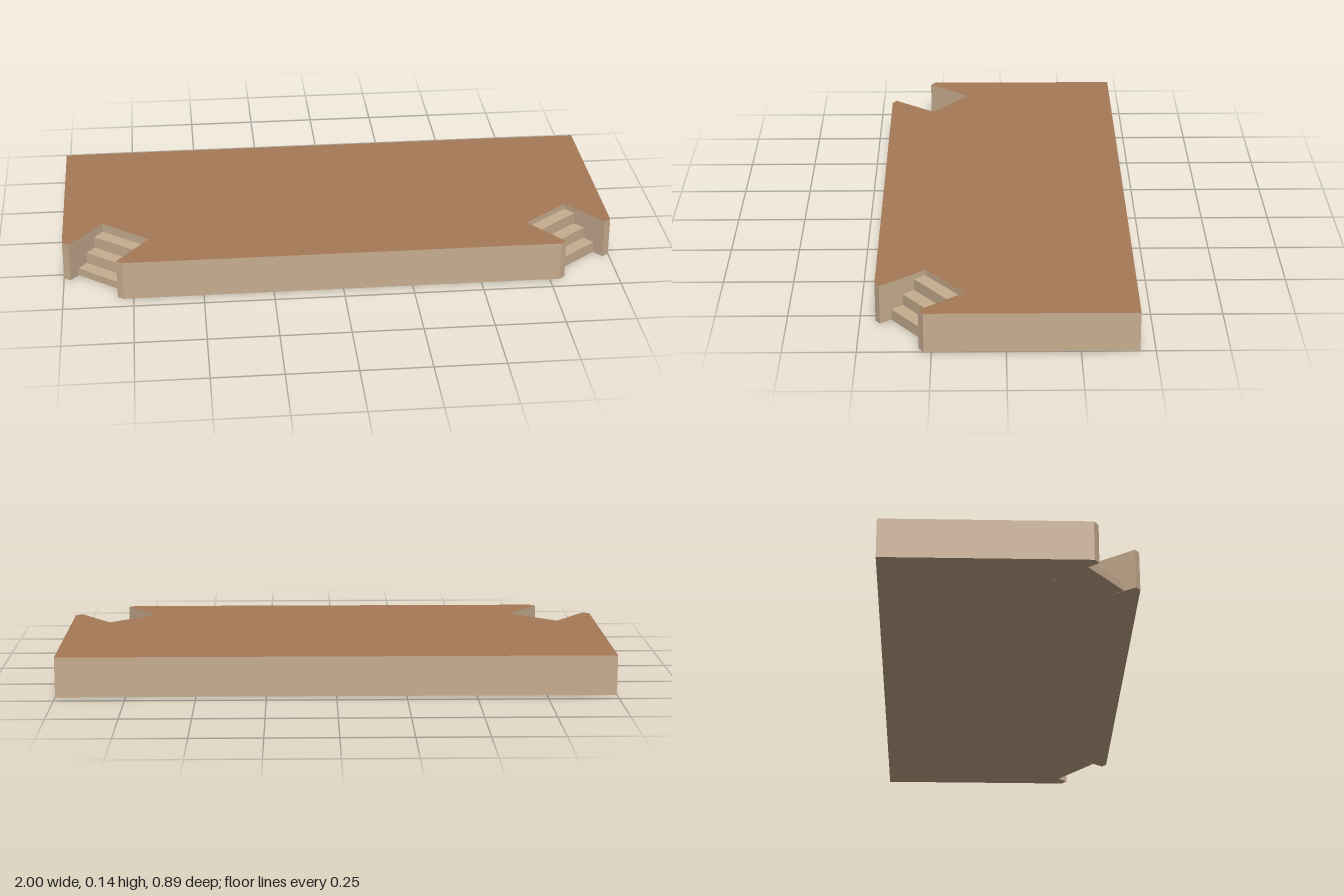
import * as THREE from 'three';

const HEIGHT = 0.145;
const STAIR_WIDTH = 0.216;
const STEP_DEPTH = 0.049;
const STAIR_ANGLE = 0.67;

// Right half of the plan as [x, z], from back corner to front, with the diagonal notch
const HALF_PLAN = [
  [1, -0.447], [1, 0.276], [0.976, 0.293], [0.856, 0.141],
  [0.69, 0.276], [0.806, 0.43], [0.785, 0.446],
];

function createPlatform(sideMaterial, topMaterial) {
  const right = HALF_PLAN.map(([x, z]) => new THREE.Vector2(x, -z));
  const left = HALF_PLAN.map(([x, z]) => new THREE.Vector2(-x, -z)).reverse();
  const geometry = new THREE.ExtrudeGeometry(new THREE.Shape([...right, ...left]), {
    depth: HEIGHT, bevelEnabled: false,
  });
  geometry.rotateX(-Math.PI / 2);

  // Split the caps: underside and walls share a colour, the deck has its own
  const [caps, walls] = geometry.groups;
  const half = caps.count / 2;
  geometry.clearGroups();
  geometry.addGroup(0, half, 0);
  geometry.addGroup(half, half, 1);
  geometry.addGroup(walls.start, walls.count, 0);

  const platform = new THREE.Mesh(geometry, [sideMaterial, topMaterial]);
  platform.name = 'platform';
  return platform;
}

// Solid staircase: stepped side profile extruded across the notch
function createStairs(side, treadHeights, material) {
  const profile = new THREE.Shape();
  const n = treadHeights.length;
  profile.moveTo(0, 0);
  profile.lineTo(n * STEP_DEPTH, 0);
  treadHeights.forEach((y, i) => {
    profile.lineTo((n - i) * STEP_DEPTH, y);
    profile.lineTo((n - i - 1) * STEP_DEPTH, y);
  });
  const geometry = new THREE.ExtrudeGeometry(profile, { depth: STAIR_WIDTH, bevelEnabled: false });
  geometry.rotateY(-Math.PI / 2);
  geometry.translate(STAIR_WIDTH / 2, 0, 0);

  const stairs = new THREE.Mesh(geometry, material);
  stairs.name = side > 0 ? 'leftStairs' : 'rightStairs';
  stairs.position.set(side * 0.773, 0, 0.2085);
  stairs.rotation.y = side * STAIR_ANGLE;
  return stairs;
}

export function createModel() {
  const sideMaterial = new THREE.MeshStandardMaterial({ color: 0xc8ad90 });
  sideMaterial.name = 'pale tan';
  const topMaterial = new THREE.MeshStandardMaterial({ color: 0xa67b57 });
  topMaterial.name = 'brown deck';

  const model = new THREE.Group();
  model.name = 'stagePlatform';
  model.add(createPlatform(sideMaterial, topMaterial));
  model.add(createStairs(1, [0.041, 0.083, 0.125], sideMaterial));
  model.add(createStairs(-1, [0.028, 0.07, 0.113], sideMaterial));
  return model;
}
